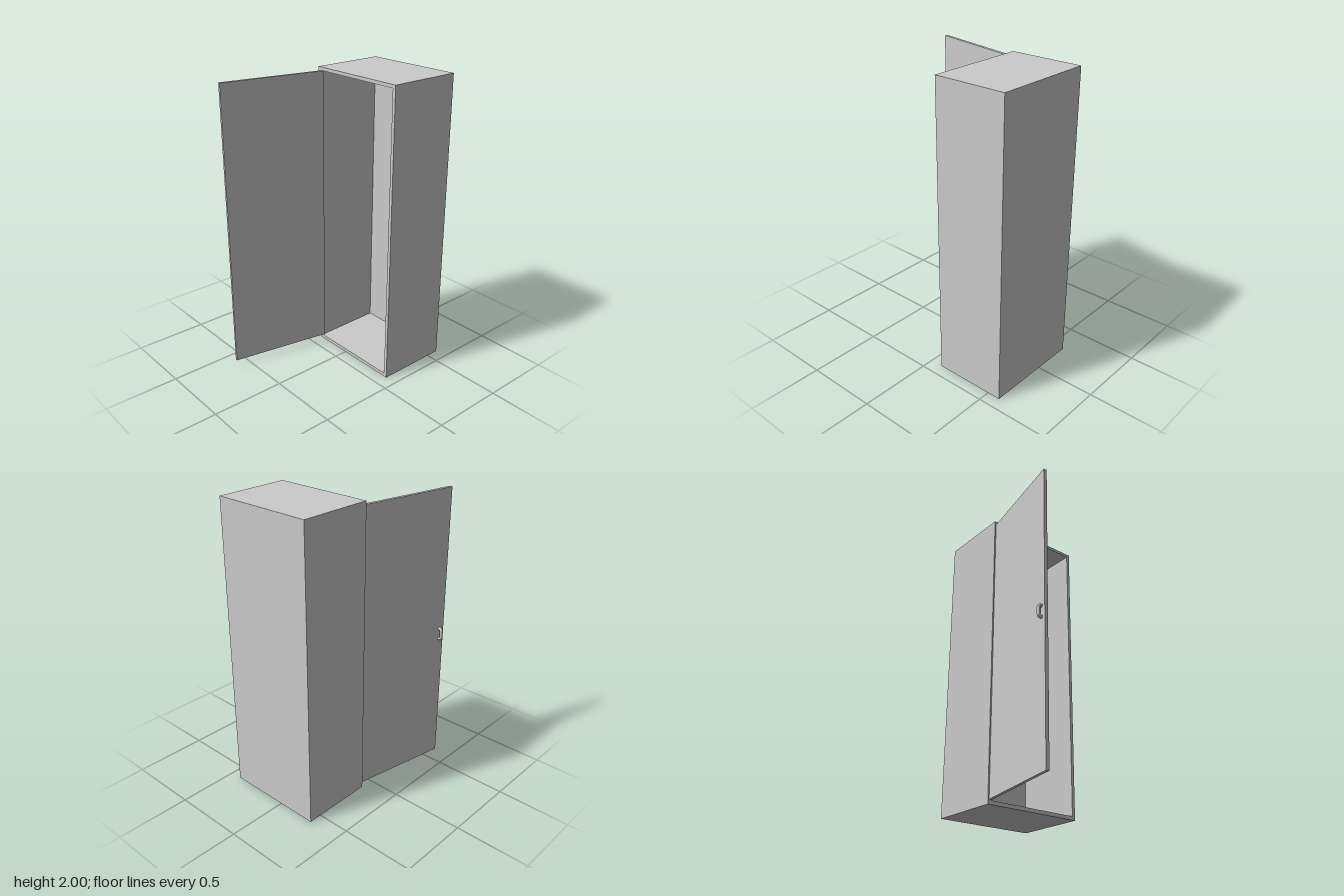
import * as THREE from 'three';

export function createModel() {
  const model = new THREE.Group();
  const material = new THREE.MeshStandardMaterial({ color: 0xcccccc });
  const add = (parent, name, geometry) => {
    const mesh = new THREE.Mesh(geometry, material);
    mesh.name = name;
    parent.add(mesh);
    return mesh;
  };

  const left = -0.275, right = 0.418, height = 2;
  const back = -0.59, front = -0.09, wall = 0.022;

  // Cabinet walls: a rectangular sleeve, closed by the back panel
  const rect = (path, x0, y0, x1, y1) =>
    path.moveTo(x0, y0).lineTo(x1, y0).lineTo(x1, y1).lineTo(x0, y1).closePath();
  const outline = new THREE.Shape();
  rect(outline, left, 0, right, height);
  const backPanel = add(model, 'backPanel',
    new THREE.ExtrudeGeometry(outline, { depth: wall, bevelEnabled: false }));
  backPanel.position.z = back;

  const frame = outline.clone();
  const opening = new THREE.Path();
  rect(opening, left + wall, wall + 0.003, right - wall, height - wall);
  frame.holes.push(opening);
  const walls = add(model, 'cabinetWalls',
    new THREE.ExtrudeGeometry(frame, { depth: front - back - wall, bevelEnabled: false }));
  walls.position.z = back + wall;

  // Open door, swung about its hinge edge
  const door = new THREE.Group();
  door.name = 'door';
  door.position.set(-0.242, 0, -0.102);
  door.rotation.y = -0.193;
  model.add(door);
  const panel = add(door, 'doorPanel', new THREE.BoxGeometry(0.021, 1.945, 0.7));
  panel.position.set(-0.0105, 1.0025, 0.35);

  // Pull handle: a rounded C-shaped bar on the outer face
  const path = new THREE.CurvePath();
  const v = (x, y) => new THREE.Vector3(x, y, 0);
  path.add(new THREE.LineCurve3(v(-0.018, -0.036), v(-0.029, -0.036)));
  path.add(new THREE.QuadraticBezierCurve3(v(-0.029, -0.036), v(-0.042, -0.036), v(-0.042, -0.022)));
  path.add(new THREE.LineCurve3(v(-0.042, -0.022), v(-0.042, 0.022)));
  path.add(new THREE.QuadraticBezierCurve3(v(-0.042, 0.022), v(-0.042, 0.036), v(-0.029, 0.036)));
  path.add(new THREE.LineCurve3(v(-0.029, 0.036), v(-0.018, 0.036)));
  const handle = add(door, 'handle', new THREE.TubeGeometry(path, 40, 0.01, 12));
  handle.position.set(0, 0.978, 0.664);
  handle.scale.z = 1.2;

  return model;
}
